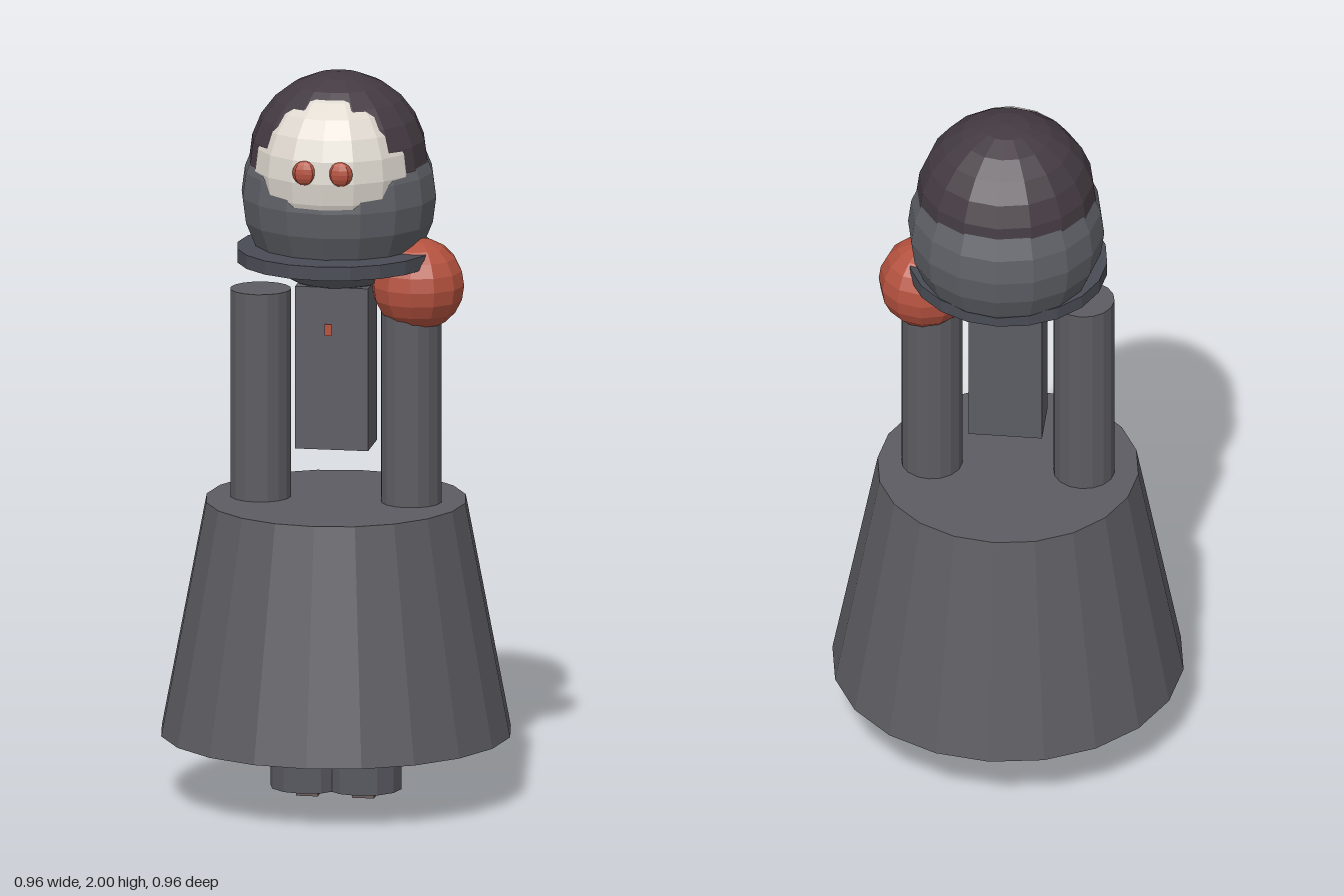
import * as THREE from 'three';

const COLORS = {
  skirt: 0x5c5c62, leg: 0x585860, sole: 0x6a5c5c, arm: 0x5c5c62, torso: 0x5c5c64,
  brim: 0x4a4c55, head: 0x5e6066, hair: 0x443b42, face: 0xded8cf, red: 0xb5523f,
};

const materials = {};
for (const [key, color] of Object.entries(COLORS)) {
  materials[key] = new THREE.MeshStandardMaterial({ color, flatShading: true });
}

export function createModel() {
  const group = new THREE.Group();

  const add = (name, geometry, material, x, y, z) => {
    const mesh = new THREE.Mesh(geometry, materials[material]);
    mesh.name = name;
    mesh.position.set(x, y, z);
    group.add(mesh);
    return mesh;
  };
  // Upright cylinder between two heights
  const column = (name, material, rTop, rBottom, y0, y1, sides, x = 0, z = 0) =>
    add(name, new THREE.CylinderGeometry(rTop, rBottom, y1 - y0, sides), material, x, (y0 + y1) / 2, z);
  const ball = (name, material, r, x, y, z, w = 16, h = 12) =>
    add(name, new THREE.SphereGeometry(r, w, h), material, x, y, z);

  // Flared skirt and floating torso block
  column('skirt', 'skirt', 0.355, 0.478, 0.18, 0.825, 20);
  add('torso', new THREE.BoxGeometry(0.2, 0.45, 0.14), 'torso', 0, 1.2, 0);
  add('button', new THREE.BoxGeometry(0.018, 0.032, 0.006), 'red', 0, 1.32, 0.125);

  // Paired limbs and eyes
  for (const [side, s] of [['left', 1], ['right', -1]]) {
    column(side + 'Leg', 'leg', 0.103, 0.103, 0.025, 0.2, 12, s * 0.077);
    add(side + 'Sole', new THREE.BoxGeometry(0.06, 0.03, 0.1), 'sole', s * 0.077, 0.015, -0.032);
    column(side + 'Arm', 'arm', 0.083, 0.083, 0.8, 1.4, 16, s * 0.207);
    ball(side + 'Eye', 'red', 0.034, s * 0.049, 1.773, 0.217, 8, 8).scale.z = 0.6;
  }

  // Red ball on the left arm
  ball('shoulderBall', 'red', 0.127, 0.225, 1.428, 0, 12, 10);

  // Hood, with hair and face as overlapping spheres
  column('brim', 'brim', 0.27, 0.27, 1.488, 1.526, 20);
  ball('hood', 'head', 0.267, 0, 1.66, -0.047);
  ball('hair', 'hair', 0.245, 0, 1.755, -0.04);
  ball('face', 'face', 0.232, 0, 1.745, 0).scale.x = 0.965;

  return group;
}
